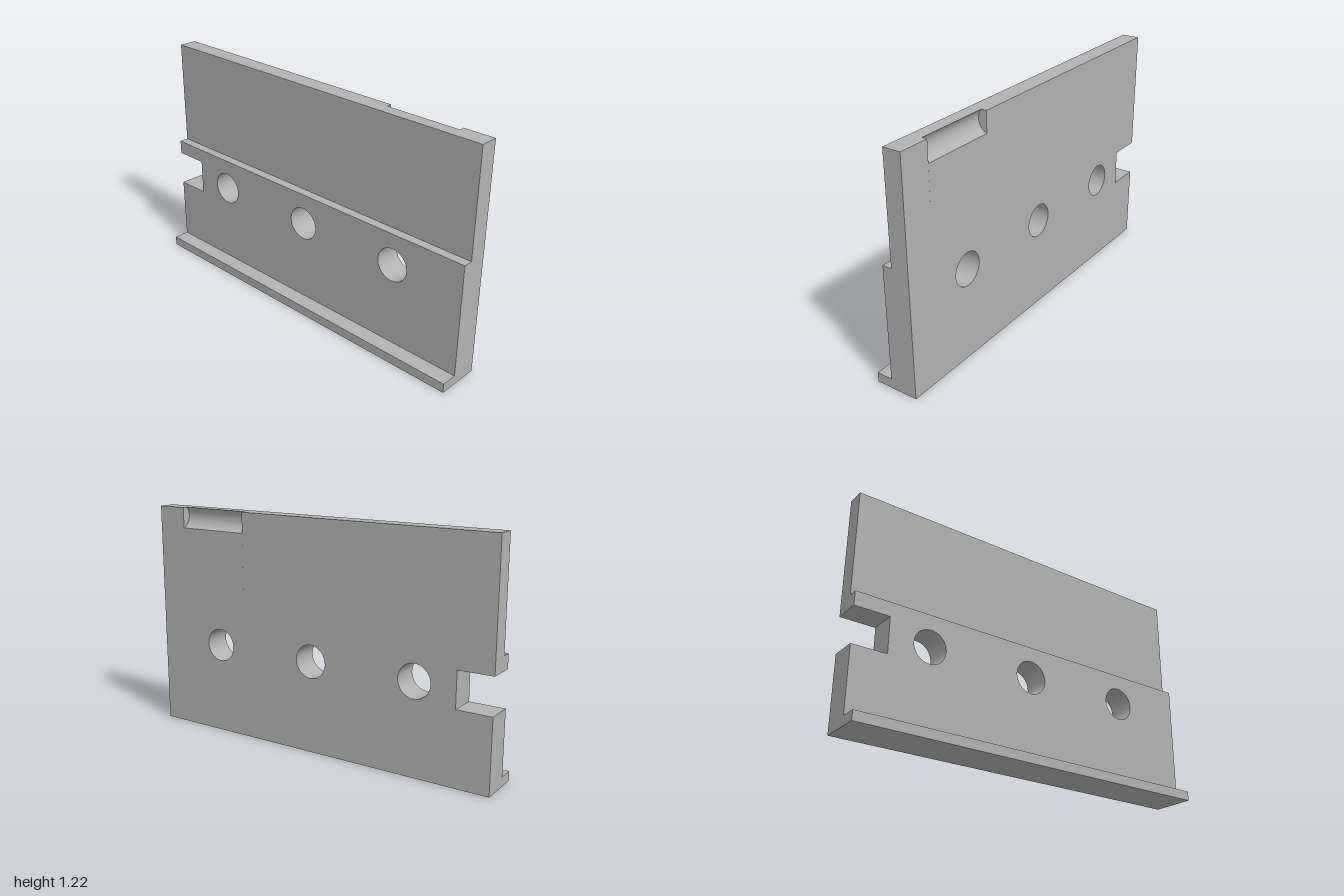
import * as THREE from 'three';
import { toCreasedNormals } from 'three/addons/utils/BufferGeometryUtils.js';

const BACK = -0.115, UPPER_FRONT = -0.02, LOWER_FRONT = 0.03, LIP_FRONT = 0.115;
const STEP_Y = 0.655, TOP_Y = 1.22, LIP_Y = 0.05;

export function createModel() {
  const group = new THREE.Group();
  const metal = new THREE.MeshStandardMaterial({ color: 0xb2b2b2 });
  metal.name = 'plain grey';

  const add = (name, geometry) => {
    const mesh = new THREE.Mesh(toCreasedNormals(geometry, 0.5), metal);
    mesh.name = name;
    group.add(mesh);
  };
  const outline = (points) => new THREE.Shape(points.map(([x, y]) => new THREE.Vector2(x, y)));

  // Extrudes a (z, y) profile along x
  const extrudeAlongX = (shape, x0, x1) =>
    new THREE.ExtrudeGeometry(shape, { depth: x1 - x0, bevelEnabled: false, curveSegments: 24 })
      .rotateY(-Math.PI / 2)
      .translate(x1, 0, 0);

  // Thick lower plate: open slot at one end and three round through holes
  const lower = outline([
    [-1, 0], [1, 0], [1, STEP_Y], [-1, STEP_Y],
    [-1, 0.58], [-0.815, 0.58], [-0.815, 0.39], [-1, 0.39],
  ]);
  for (const x of [-0.595, 0, 0.595]) {
    const hole = new THREE.Path();
    hole.absarc(x, 0.488, 0.088, 0, Math.PI * 2, true);
    lower.holes.push(hole);
  }
  add('lowerPlate', new THREE.ExtrudeGeometry(lower, {
    depth: LOWER_FRONT - BACK, bevelEnabled: false, curveSegments: 48,
  }).translate(0, 0, BACK));

  // Thin upper plate, plain on both sides of the rounded recess
  const plain = outline([
    [BACK, STEP_Y], [UPPER_FRONT, STEP_Y], [UPPER_FRONT, TOP_Y], [BACK, TOP_Y],
  ]);
  add('upperPlateRight', extrudeAlongX(plain, -1, 0.43));
  add('upperPlateLeft', extrudeAlongX(plain, 0.835, 1));

  // Rounded finger recess in the top back edge
  const recessed = outline([
    [BACK, STEP_Y], [UPPER_FRONT, STEP_Y], [UPPER_FRONT, TOP_Y],
  ]);
  recessed.absarc(-0.1386, 1.175, 0.0688, 0.713, -1.222, true);
  add('upperPlateRecess', extrudeAlongX(recessed, 0.43, 0.835));

  // Lip along the bottom front edge
  const depth = LIP_FRONT - LOWER_FRONT;
  add('bottomLip', new THREE.BoxGeometry(2, LIP_Y, depth)
    .translate(0, LIP_Y / 2, LOWER_FRONT + depth / 2));

  return group;
}
